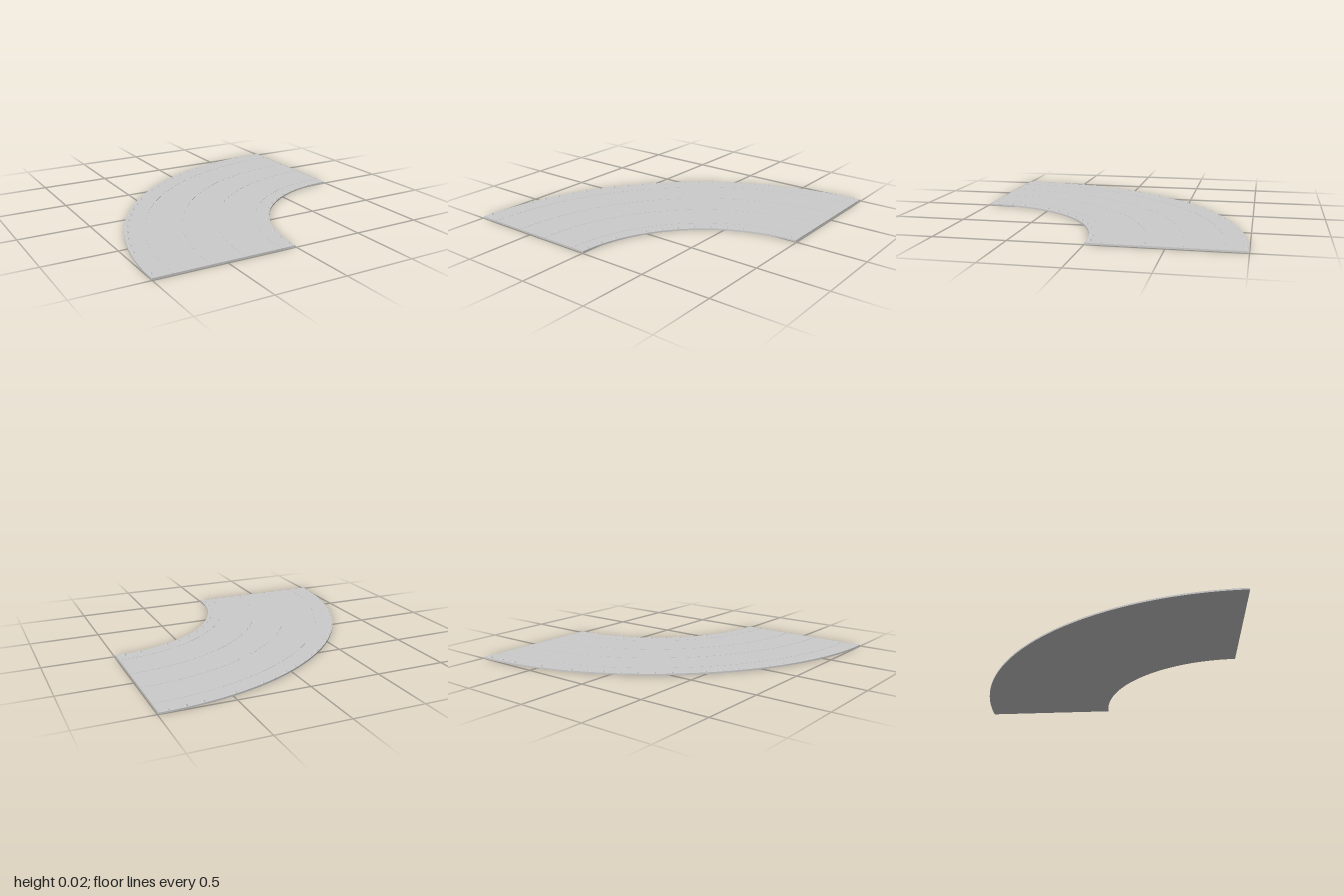
import * as THREE from 'three';

const C = 0.993;            // centre of the bend in x and z
const INNER = 0.994, OUTER = 1.993;
const TOP = 0.011;          // road surface height

const material = new THREE.MeshStandardMaterial({ color: 0xcccccc });
const stoneMaterial = new THREE.MeshStandardMaterial({ color: 0xcccccc, flatShading: true });

// Quarter-ring slab between two radii, from height y0 to y1
function bend(name, r0, r1, y0, y1) {
  const shape = new THREE.Shape();
  shape.absarc(C, -C, r1, Math.PI / 2, Math.PI, false);
  shape.absarc(C, -C, r0, Math.PI, Math.PI / 2, true);
  shape.closePath();
  const geometry = new THREE.ExtrudeGeometry(shape, { depth: y1 - y0, bevelEnabled: false, curveSegments: 48 });
  geometry.rotateX(-Math.PI / 2);
  geometry.translate(0, y0, 0);
  const mesh = new THREE.Mesh(geometry, material);
  mesh.name = name;
  return mesh;
}

// Place an object on the bend: angle 0 is the front end, 90 degrees the far end
function place(object, radius, angle, y) {
  object.position.set(C - radius * Math.cos(angle), y, C - radius * Math.sin(angle));
  object.rotation.y = -angle;
}

// Row of evenly spaced kerb stones, leaving out the missing ones
function stoneRow(name, radius, count, missing) {
  const row = new THREE.Group();
  row.name = name;
  const geometry = new THREE.CylinderGeometry(0.008, 0.015, 0.01, 6);
  for (let i = 0; i < count; i++) {
    if (missing.includes(i)) continue;
    const stone = new THREE.Mesh(geometry, stoneMaterial);
    stone.name = 'kerbStone';
    place(stone, radius, (i + 0.5) / count * Math.PI / 2, TOP + 0.005);
    row.add(stone);
  }
  return row;
}

export function createModel() {
  const model = new THREE.Group();
  model.name = 'curvedRoad';

  model.add(bend('roadBed', INNER, OUTER, 0, TOP));

  // Two pairs of thin track lines along the bend
  for (const r of [1.095, 1.36, 1.6, 1.855]) {
    model.add(bend('trackLine', r - 0.003, r + 0.003, TOP - 0.002, TOP + 0.001));
  }

  model.add(stoneRow('outerKerb', 1.976, 27, [1, 2, 13, 21, 23]));
  model.add(stoneRow('innerKerb', 1.015, 14, [3, 11]));

  // Small flat pebbles scattered over the surface
  let seed = 7;
  const random = () => (seed = (seed * 16807) % 2147483647) / 2147483647;
  const pebbles = new THREE.Group();
  pebbles.name = 'pebbles';
  const pebbleGeometry = new THREE.CylinderGeometry(0.004, 0.007, 0.002, 5);
  for (let i = 0; i < 36; i++) {
    const pebble = new THREE.Mesh(pebbleGeometry, stoneMaterial);
    pebble.name = 'pebble';
    place(pebble, 1.06 + 0.87 * random(), (0.03 + 0.94 * random()) * Math.PI / 2, TOP + 0.0005);
    pebbles.add(pebble);
  }
  model.add(pebbles);

  return model;
}
